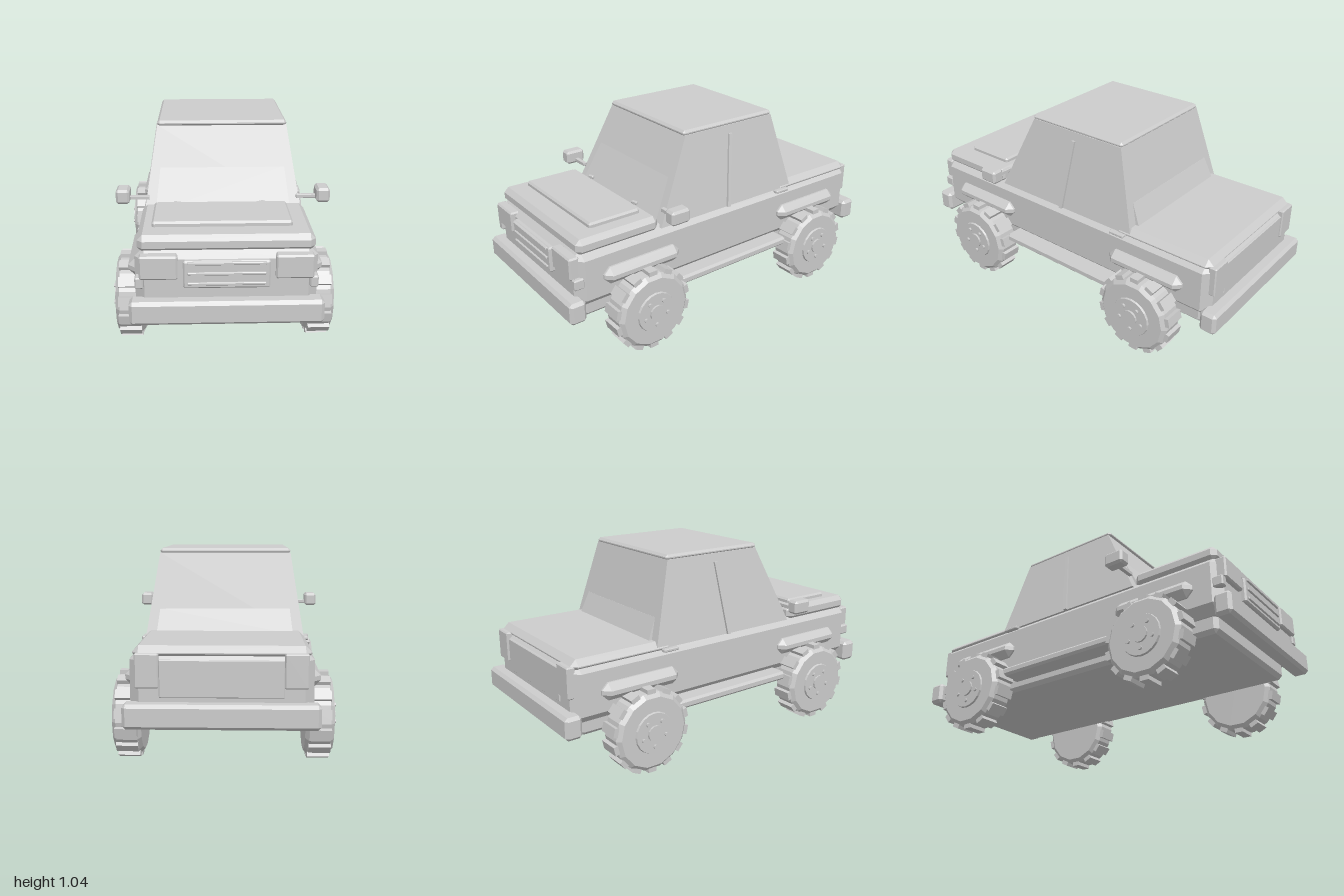
import * as THREE from 'three';
import { ConvexGeometry } from 'three/addons/geometries/ConvexGeometry.js';

const grey = new THREE.MeshStandardMaterial({ color: 0xcccccc, flatShading: true });
grey.name = 'plain grey';

export function createModel() {
  const root = new THREE.Group();
  root.name = 'pickupTruck';

  const add = (name, geometry, parent = root) => {
    const mesh = new THREE.Mesh(geometry, grey);
    mesh.name = name;
    parent.add(mesh);
    return mesh;
  };

  // Box between two corners with every edge chamfered by c
  const bevelBox = (name, x, y, z, c, parent) => {
    const size = [x, y, z].map(([a, b]) => (b - a) / 2);
    const mid = [x, y, z].map(([a, b]) => (a + b) / 2);
    const points = [];
    for (const sx of [-1, 1]) for (const sy of [-1, 1]) for (const sz of [-1, 1])
      for (let axis = 0; axis < 3; axis++) {
        const p = [sx, sy, sz].map((s, i) => s * (size[i] - (i === axis ? 0 : c)));
        points.push(new THREE.Vector3(...p));
      }
    const mesh = add(name, new ConvexGeometry(points), parent);
    mesh.position.set(...mid);
    return mesh;
  };

  // Tapered block between symmetric rectangles [halfWidth, y, zBack, zFront]
  const taperBlock = (name, ...levels) => add(name, new ConvexGeometry(levels.flatMap(([w, y, z0, z1]) =>
    [-w, w].flatMap((x) => [new THREE.Vector3(x, y, z0), new THREE.Vector3(x, y, z1)]))));

  // Same box on both sides, given for +x
  const pair = (name, x, y, z, c) => {
    bevelBox(name + 'Left', x, y, z, c);
    bevelBox(name + 'Right', [-x[1], -x[0]], y, z, c);
  };

  // Body
  bevelBox('chassis', [-0.37, 0.37], [0.22, 0.34], [-0.88, 0.885], 0.02);
  bevelBox('body', [-0.423, 0.423], [0.3, 0.605], [-0.94, 0.94], 0.045);
  bevelBox('hood', [-0.41, 0.41], [0.58, 0.663], [0.455, 0.92], 0.025);
  bevelBox('hoodPanel', [-0.347, 0.317], [0.65, 0.688], [0.51, 0.8], 0.01);
  bevelBox('rearDeck', [-0.41, 0.41], [0.56, 0.625], [-0.93, -0.36], 0.03);
  bevelBox('frontBumper', [-0.45, 0.45], [0.253, 0.37], [0.91, 1], 0.016);
  bevelBox('rearBumper', [-0.45, 0.45], [0.253, 0.37], [-1, -0.91], 0.016);

  // Cabin with slightly proud glass at each end
  taperBlock('cabin', [0.407, 0.59, -0.46, 0.443], [0.34, 1.02, -0.345, 0.24]);
  taperBlock('windshield', [0.348, 0.61, 0.4, 0.45], [0.323, 0.82, 0.3, 0.334]);
  taperBlock('rearWindow', [0.35, 0.61, -0.475, -0.42], [0.335, 0.735, -0.422, -0.39]);
  bevelBox('roof', [-0.34, 0.34], [1.013, 1.043], [-0.35, 0.25], 0.012);

  // Front details
  pair('headlight', [0.224, 0.4], [0.468, 0.583], [0.91, 0.965], 0.008);
  pair('turnSignal', [0.382, 0.422], [0.42, 0.475], [0.9, 0.955], 0.006);
  bevelBox('grille', [-0.2, 0.2], [0.424, 0.56], [0.92, 0.965], 0.008);
  for (const y of [0.45, 0.5, 0.55])
    bevelBox('grilleSlat', [-0.18, 0.18], [y - 0.007, y + 0.007], [0.955, 0.974], 0.003);
  for (const x of [-0.235, 0.2])
    bevelBox('wiper', [x - 0.018, x + 0.018], [0.655, 0.672], [0.455, 0.472], 0.003).rotation.y = 0.25;

  // Rear details
  pair('tailLight', [0.285, 0.395], [0.435, 0.595], [-0.955, -0.91], 0.006);
  bevelBox('tailgate', [-0.285, 0.285], [0.39, 0.565], [-0.946, -0.92], 0.004);

  // Side details
  pair('runningBoard', [0.36, 0.485], [0.268, 0.315], [-0.378, 0.368], 0.012);
  pair('frontFender', [0.38, 0.467], [0.403, 0.493], [0.355, 0.8], 0.034);
  pair('rearFender', [0.38, 0.467], [0.403, 0.493], [-0.795, -0.35], 0.034);
  pair('mirror', [0.478, 0.548], [0.66, 0.735], [0.365, 0.475], 0.012);
  pair('mirrorArm', [0.38, 0.485], [0.67, 0.69], [0.405, 0.427], 0.002);
  pair('doorHandle', [0.4, 0.432], [0.573, 0.59], [-0.43, -0.34], 0.004);
  for (const s of [-1, 1]) {
    const v = (x, y, z) => new THREE.Vector3(s * x, y, z);
    const corners = [[0.59, 0.42, 0.003], [0.975, 0.358, -0.046]].flatMap(([y, x, z]) =>
      [0, 0.03].flatMap((dx) => [-0.01, 0.01].map((dz) => v(x - dx, y, z + dz))));
    add('doorPillar', new ConvexGeometry(corners));
  }

  // Wheels, built around +y as the outward axle
  const sides = 14;
  const tyre = new THREE.LatheGeometry(
    [[0, -0.07], [0.184, -0.07], [0.206, -0.05], [0.206, 0.05], [0.184, 0.07], [0, 0.07]]
      .map(([r, h]) => new THREE.Vector2(r, h)), sides);
  const tread = new THREE.BoxGeometry(0.03, 0.108, 0.048);
  const rim = new THREE.CylinderGeometry(0.105, 0.112, 0.02, 20);
  const hub = new THREE.CylinderGeometry(0.042, 0.042, 0.02, 14);
  const bolt = new THREE.CylinderGeometry(0.011, 0.011, 0.02, 8);
  for (const s of [-1, 1]) for (const z of [0.577, -0.573]) {
    const wheel = new THREE.Group();
    wheel.name = (z > 0 ? 'front' : 'rear') + (s > 0 ? 'Left' : 'Right') + 'Wheel';
    wheel.position.set(s * 0.468, 0.222, z);
    wheel.rotation.z = -s * Math.PI / 2;
    root.add(wheel);
    add('tyre', tyre, wheel);
    for (let i = 0; i < sides; i++) {
      const a = i * Math.PI * 2 / sides;
      const block = add('tread', tread, wheel);
      block.position.set(Math.cos(a) * 0.206, 0, Math.sin(a) * 0.206);
      block.rotation.y = -a;
    }
    add('rim', rim, wheel).position.y = 0.07;
    add('hub', hub, wheel).position.y = 0.08;
    for (let i = 0; i < 5; i++) {
      const a = i * Math.PI * 2 / 5 + (s > 0 ? Math.PI : 0);
      add('wheelBolt', bolt, wheel).position.set(-Math.cos(a) * 0.07, 0.08, Math.sin(a) * 0.07);
    }
  }
  return root;
}
